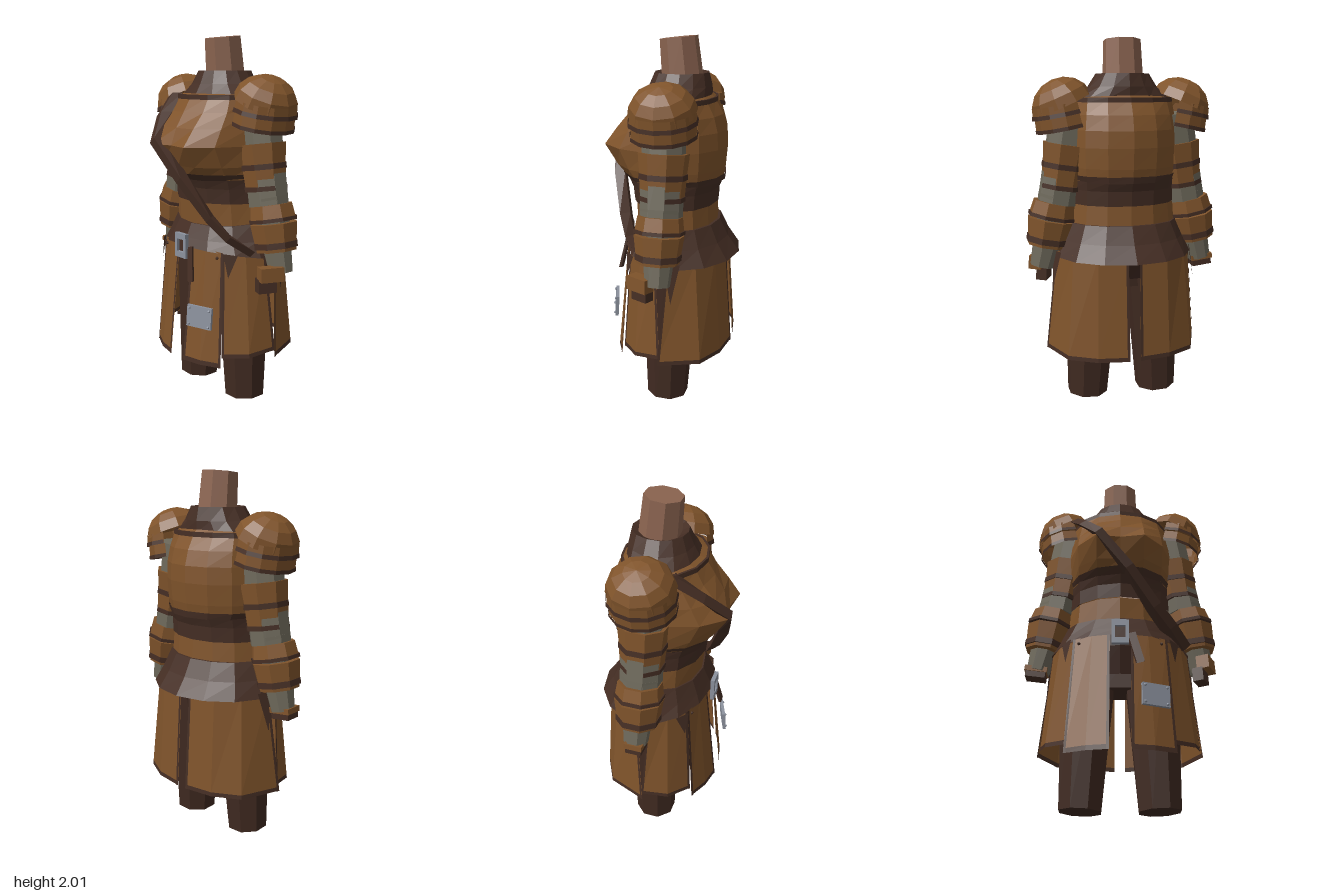
import * as THREE from 'three';

const mat = (name, color) => new THREE.MeshStandardMaterial({ name, color, flatShading: true, side: THREE.DoubleSide });
const V = (x, y, z) => new THREE.Vector3(x, y, z);

export function createModel() {
  const leather = mat('tan leather', 0x80542b);
  const dark = mat('dark leather', 0x452e24);
  const trousers = mat('trouser cloth', 0x402a21);
  const mail = mat('grey sleeve', 0x6f6a5c);
  const skin = mat('skin', 0x8b6450);
  const steel = mat('steel', 0x8c929e);
  const model = new THREE.Group();

  const add = (name, geo, material, parent = model) => {
    const mesh = new THREE.Mesh(geo, material);
    mesh.name = name;
    parent.add(mesh);
    return mesh;
  };

  // Surface through rows of points, listed from bottom to top
  const loft = (name, rows, material, closed = true, parent = model) => {
    const n = rows[0].length, pos = [], idx = [];
    rows.forEach(r => r.forEach(p => pos.push(p.x, p.y, p.z)));
    for (let j = 0; j < rows.length - 1; j++) {
      for (let i = 0; i < (closed ? n : n - 1); i++) {
        const k = (i + 1) % n, a = j * n + i, b = j * n + k;
        idx.push(a, b, b + n, a, b + n, a + n);
      }
    }
    const geo = new THREE.BufferGeometry();
    geo.setAttribute('position', new THREE.Float32BufferAttribute(pos, 3));
    geo.setIndex(idx);
    geo.computeVertexNormals();
    return add(name, geo, material, parent);
  };

  // Body ring: half width, front z, back z; "mid" sets the z of the centre front point
  const ring = (y, rx, zf, zb, mid = null, yFront = y) => Array.from({ length: 14 }, (_, i) => {
    const a = i / 14 * Math.PI * 2, c = Math.cos(a), mz = -0.03;
    const z = c > 0 ? mz + c * (zf - mz) : mz - c * (zb - mz);
    return V(rx * Math.sin(a), y + (yFront - y) * Math.max(0, c), i === 0 && mid !== null ? mid : z);
  });

  // Tapered limb piece between two points
  const limb = (name, a, b, ra, rb, material) => {
    const d = b.clone().sub(a);
    const mesh = add(name, new THREE.CylinderGeometry(rb, ra, d.length(), 8, 1, false, Math.PI / 8), material);
    mesh.position.copy(a).addScaledVector(d, 0.5);
    mesh.quaternion.setFromUnitVectors(V(0, 1, 0), d.normalize());
  };

  // Strap along a path from bottom to top, thickened towards the body axis
  const strap = (name, pts, w, depth) => loft(name, pts.map((p, i) => {
    const t = pts[Math.min(i + 1, pts.length - 1)].clone().sub(pts[Math.max(i - 1, 0)]);
    const s = V(t.y, -t.x, 0).normalize().multiplyScalar(w / 2);
    const inward = V(-p.x, 0, -0.03 - p.z).normalize().multiplyScalar(depth);
    const l = p.clone().sub(s), r = p.clone().add(s);
    return [l, r, r.clone().add(inward), l.clone().add(inward)];
  }), dark);

  // Neck and collar
  limb('neck', V(0, 1.76, -0.047), V(0, 1.992, -0.023), 0.112, 0.102, skin);
  loft('collar', [ring(1.685, 0.26, 0.17, -0.205), ring(1.745, 0.19, 0.135, -0.205),
    ring(1.815, 0.145, 0.105, -0.19), ring(1.79, 0.09, 0.06, -0.13)], dark);

  // Torso
  loft('chest', [ring(1.25, 0.29, 0.25, -0.275), ring(1.32, 0.3, 0.32, -0.288, 0.29),
    ring(1.43, 0.305, 0.4, -0.297, 0.335), ring(1.52, 0.3, 0.325, -0.293, 0.3),
    ring(1.6, 0.29, 0.25, -0.27), ring(1.68, 0.275, 0.2, -0.225), ring(1.705, 0.22, 0.14, -0.2)], leather);
  loft('neckline trim', [ring(1.665, 0.28, 0.21, -0.235), ring(1.69, 0.275, 0.21, -0.235), ring(1.69, 0.262, 0.198, -0.223)], dark);
  loft('chest hem', [ring(1.245, 0.285, 0.25, -0.285), ring(1.28, 0.3, 0.285, -0.29)], dark);
  loft('waist sash', [ring(1.12, 0.29, 0.215, -0.25), ring(1.2, 0.29, 0.225, -0.255), ring(1.25, 0.293, 0.25, -0.275)], dark);
  loft('waist', [ring(0.98, 0.3, 0.195, -0.25), ring(1.12, 0.288, 0.205, -0.24)], leather);
  loft('flared belt', [ring(0.83, 0.388, 0.262, -0.375, null, 0.875), ring(0.92, 0.345, 0.24, -0.31),
    ring(1.015, 0.305, 0.205, -0.262, null, 0.995), ring(1.015, 0.285, 0.18, -0.24, null, 0.995)], dark);

  // Hips
  loft('hips', [ring(0.7, 0.27, 0.13, -0.18), ring(0.85, 0.32, 0.17, -0.23), ring(0.98, 0.29, 0.17, -0.23)], trousers);
  add('crotch', new THREE.BoxGeometry(0.16, 0.22, 0.2), trousers).position.set(0, 0.75, -0.02);

  // Skirt panel with dark hem and side trims, given front edge to back edge
  const panel = (name, s, bottom, top) => {
    const fix = row => { const r = row.map(p => V(p[0] * s, p[1], p[2])); return s < 0 ? r.reverse() : r; };
    const b = fix(bottom), t = fix(top), group = new THREE.Group();
    group.name = name;
    model.add(group);
    const hem = b.map((p, i) => p.clone().lerp(t[i], 0.04));
    loft('panel', [hem, t], leather, false, group);
    loft('panel hem', [b, hem], dark, false, group);
    const n = b.length, out = p => V(p.x * 1.008, p.y, p.z * 1.008);
    for (const [i, j] of [[0, 1], [n - 1, n - 2]]) {
      const rows = [b, t].map(r => {
        const width = 0.014 / r[i].distanceTo(r[j]);
        const edge = [out(r[i]), out(r[i].clone().lerp(r[j], width))];
        return i ? edge.reverse() : edge;
      });
      loft('panel edge', rows, dark, false, group);
    }
  };

  for (const s of [1, -1]) {
    const P = (x, y, z) => V(x * s, y, z);
    const side = s > 0 ? 'left ' : 'right ';

    limb(side + 'leg', P(0.205, 0, -0.015), P(0.17, 0.85, -0.03), 0.116, 0.165, trousers);

    panel(side + 'front skirt', s, [[0.055, 0.24, 0.315], [0.17, 0.24, 0.29], [0.28, 0.24, 0.235]],
      [[0.055, 0.88, 0.245], [0.15, 0.88, 0.228], [0.25, 0.87, 0.19]]);
    panel(side + 'side skirt', s, [[0.27, 0.29, 0.22], [0.385, 0.3, 0.12], [0.425, 0.32, -0.03]],
      [[0.235, 0.87, 0.185], [0.33, 0.86, 0.1], [0.375, 0.85, 0]]);
    panel(side + 'back skirt', s, [[0.435, 0.285, -0.02], [0.35, 0.285, -0.24], [0.2, 0.285, -0.32], [0.03, 0.285, -0.345]],
      [[0.38, 0.86, -0.06], [0.31, 0.86, -0.2], [0.19, 0.86, -0.28], [0.03, 0.86, -0.305]]);
    add('skirt rivet', new THREE.SphereGeometry(0.009, 6, 4), dark).position.set(0.22 * s, 0.84, 0.207);

    // Pointed tongues over the skirt seams
    const tongue = (tip, a, b) => loft('skirt tongue', [[tip, tip], s > 0 ? [a, b] : [b, a]], dark, false);
    tongue(P(0.29, 0.74, 0.19), P(0.262, 0.87, 0.2), P(0.315, 0.86, 0.145));
    tongue(P(0.41, 0.65, -0.09), P(0.395, 0.86, -0.05), P(0.365, 0.86, -0.13));

    // Shoulder guard: flattened dome over two nearly level plates
    const guard = (name, x, y, tilt) => {
      const group = new THREE.Group();
      group.name = side + name;
      group.position.set(x * s, y, -0.03);
      group.rotation.z = -tilt * s;
      group.scale.z = 1.06;
      model.add(group);
      return group;
    };
    const cap = add('shoulder dome', new THREE.SphereGeometry(0.168, 10, 4, 0, Math.PI * 2, 0, Math.PI / 2),
      leather, guard('shoulder guard', 0.328, 1.65, 0.42));
    cap.scale.y = 0.86;
    const plates = guard('shoulder plates', 0.325, 1.6, 0.2);
    const band = (name, y, h, r0, r1, m) => {
      const geo = new THREE.CylinderGeometry(r0, r1, h, 8, 1, true, s > 0 ? -0.4 : Math.PI - 0.4, Math.PI + 0.8);
      add(name, geo, m, plates).position.y = y - h / 2;
    };
    band('upper plate', 0.06, 0.055, 0.16, 0.165, leather);
    band('upper plate trim', 0.02, 0.022, 0.167, 0.172, dark);
    band('lower plate', 0, 0.06, 0.158, 0.162, leather);
    band('lower plate trim', -0.055, 0.02, 0.165, 0.167, dark);

    // Arm sleeve and bracers
    limb(side + 'upper sleeve', P(0.366, 1.12, -0.03), P(0.285, 1.6, -0.03), 0.112, 0.115, mail);
    limb(side + 'lower sleeve', P(0.46, 0.77, -0.035), P(0.366, 1.16, -0.03), 0.066, 0.108, mail);
    const arm = [
      ['upper bracer', 0.308, 1.44, 0.327, 1.31, 0.134, 0.12],
      ['elbow bracer', 0.328, 1.31, 0.344, 1.2, 0.122, 0.114],
      ['forearm bracer', 0.382, 1.125, 0.4, 1.04, 0.118, 0.13],
      ['wrist bracer', 0.402, 1.03, 0.428, 0.885, 0.132, 0.112]];
    for (const [name, x0, y0, x1, y1, r0, r1] of arm) {
      const a = P(x1, y1, -0.03), b = P(x0, y0, -0.03), at = t => a.clone().lerp(b, t);
      limb(side + name, a, b, r1, r0, leather);
      const t = name === 'wrist bracer' ? 0.22 : 0.08, r = THREE.MathUtils.lerp(r1, r0, t) + 0.006;
      limb(side + name + ' trim', at(t - 0.1), at(t + 0.12), r, r, dark);
    }
  }

  // Hands
  const box = (name, size, p, ry, rz, m) => {
    const mesh = add(name, new THREE.BoxGeometry(...size), m);
    mesh.position.set(...p);
    mesh.rotation.set(0, ry, rz);
  };
  box('left glove', [0.07, 0.075, 0.125], [0.47, 0.78, 0.055], -0.42, 0.06, leather);
  box('left fist', [0.06, 0.075, 0.1], [0.438, 0.712, 0.055], -0.42, 0.05, dark);
  box('right glove', [0.125, 0.03, 0.1], [-0.466, 0.775, -0.03], 0, -0.12, leather);
  box('right fist', [0.11, 0.045, 0.09], [-0.468, 0.75, -0.03], 0, -0.12, dark);

  // Shoulder strap and belt tail
  strap('shoulder strap', [V(0.37, 0.87, 0.09), V(0.29, 0.95, 0.19), V(0.2, 1.05, 0.25), V(0.05, 1.25, 0.33),
    V(-0.12, 1.45, 0.372), V(-0.215, 1.58, 0.255), V(-0.275, 1.68, 0.13)], 0.05, 0.06);
  strap('belt tail', [V(0.105, 0.7, 0.3), V(0.06, 0.88, 0.266)], 0.042, 0.014);

  // Buckle frame
  const corners = (w, h) => [[-w, -h], [w, -h], [w, h], [-w, h]].map(p => new THREE.Vector2(...p));
  const frame = new THREE.Shape(corners(0.046, 0.068));
  frame.holes.push(new THREE.Path(corners(0.027, 0.035).reverse()));
  add('buckle', new THREE.ExtrudeGeometry(frame, { depth: 0.022, bevelEnabled: false }), steel).position.set(0, 0.88, 0.262);
  box('buckle backing', [0.08, 0.12, 0.008], [0, 0.88, 0.263], 0, 0, dark);

  // Riveted plate on the left front skirt
  const plate = new THREE.Group();
  plate.name = 'skirt plate';
  plate.position.set(0.178, 0.52, 0.295);
  plate.rotation.set(-0.08, 0.36, 0);
  model.add(plate);
  add('plate', new THREE.BoxGeometry(0.15, 0.118, 0.018), steel, plate);
  for (const x of [-0.06, 0.06]) for (const y of [-0.045, 0.045]) {
    add('plate rivet', new THREE.SphereGeometry(0.008, 6, 4), steel, plate).position.set(x, y, 0.01);
  }
  return model;
}
